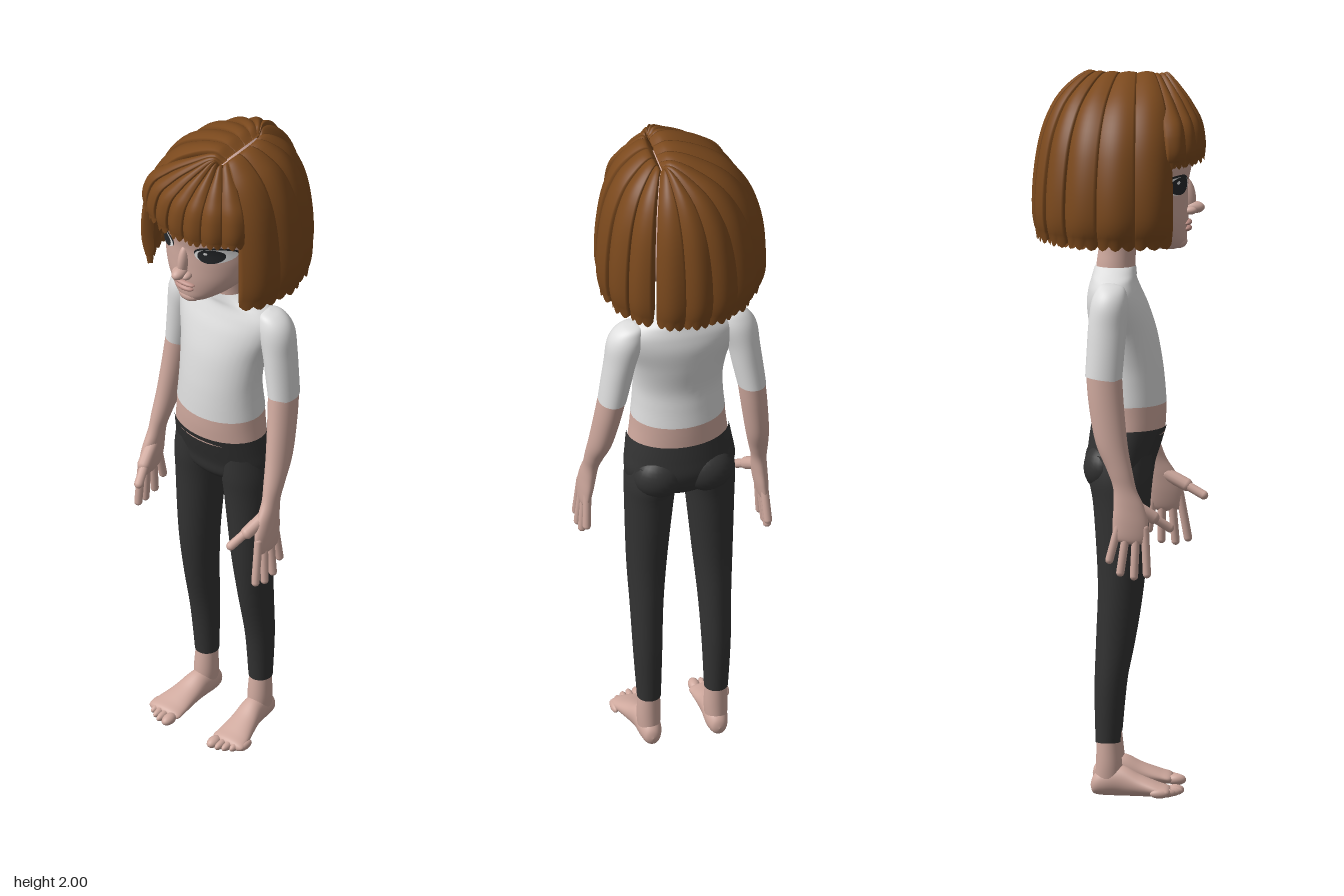
import * as THREE from 'three';

const mat = (name, color, side = THREE.FrontSide) => {
  const m = new THREE.MeshStandardMaterial({ color, side });
  m.name = name;
  return m;
};

// Catmull-Rom through rows of numbers
function dense(rows, steps = 6) {
  const out = [], n = rows.length;
  const at = (i) => rows[Math.min(n - 1, Math.max(0, i))];
  for (let i = 0; i < n - 1; i++) {
    for (let k = 0; k < steps; k++) {
      const t = k / steps;
      out.push(rows[i].map((_, c) => {
        const a = at(i - 1)[c], b = at(i)[c], d = at(i + 1)[c], e = at(i + 2)[c];
        return b + 0.5 * t * (d - a + t * (2 * a - 5 * b + 4 * d - e + t * (3 * (b - d) + e - a)));
      }));
    }
  }
  out.push(rows[n - 1]);
  return out;
}

// Surface from rings of points; fn(i, j) gives a point, rings are closed
function skinRings(nu, nv, fn) {
  const pos = [], idx = [];
  for (let j = 0; j < nv; j++) for (let i = 0; i < nu; i++) pos.push(...fn(i, j));
  for (let j = 0; j < nv - 1; j++) {
    for (let i = 0; i < nu; i++) {
      const k = (i + 1) % nu, a = j * nu + i, b = j * nu + k;
      idx.push(a, b, b + nu, a, b + nu, a + nu);
    }
  }
  const g = new THREE.BufferGeometry();
  g.setAttribute('position', new THREE.Float32BufferAttribute(pos, 3));
  g.setIndex(idx);
  g.computeVertexNormals();
  return g;
}

// Rows are [height, x, z, rx, rz], or [z, x, y, rx, ry] when alongZ is set
function loft(rows, alongZ = false, seg = 36) {
  const r = dense(rows);
  return skinRings(seg, r.length, (i, j) => {
    const [t, a, b, ra, rb] = r[j], q = (i / seg) * Math.PI * 2;
    const s = Math.sin(q), c = Math.cos(q);
    return alongZ ? [a + Math.max(0, ra) * c, b + Math.max(0, rb) * s, t]
      : [a + Math.max(0, ra) * s, t, b + Math.max(0, rb) * c];
  });
}

export function createModel() {
  const skin = mat('skin', 0xcfa99e), shirt = mat('shirt white', 0xdedede);
  const cloth = mat('dark cloth', 0x333333), hair = mat('brown hair', 0x7b491d, THREE.DoubleSide);
  const eyeWhite = mat('eye white', 0xe6e6e6), dark = mat('eye dark', 0x26282b), lip = mat('lip', 0xbd8f86);
  const root = new THREE.Group();
  const add = (name, geo, m, parent = root) => {
    const mesh = new THREE.Mesh(geo, m);
    mesh.name = name;
    parent.add(mesh);
    return mesh;
  };
  const ball = (name, p, r, m, parent) => {
    const b = add(name, new THREE.SphereGeometry(1, 24, 16), m, parent);
    b.position.set(...p);
    b.scale.set(...r);
    return b;
  };
  const limb = (name, p, q, r, m, parent) => {
    const a = new THREE.Vector3(...p), d = new THREE.Vector3(...q).sub(a), len = d.length();
    const c = add(name, new THREE.CapsuleGeometry(r, Math.max(0.001, len - r), 6, 12), m, parent);
    c.position.copy(a).addScaledVector(d, 0.5);
    c.quaternion.setFromUnitVectors(new THREE.Vector3(0, 1, 0), d.normalize());
  };

  // Torso
  add('top', loft([[1.085, 0, 0.027, 0.132, 0.103], [1.14, 0, 0.028, 0.127, 0.098], [1.2, 0, 0.026, 0.126, 0.093],
    [1.28, 0, 0.012, 0.136, 0.092], [1.35, 0, -0.004, 0.158, 0.085], [1.395, 0, -0.012, 0.163, 0.073],
    [1.425, 0, -0.014, 0.135, 0.063], [1.443, 0, -0.012, 0.09, 0.06], [1.462, 0, -0.01, 0.054, 0.056]]), shirt);
  add('waist', loft([[1.0, 0, 0.026, 0.14, 0.1], [1.05, 0, 0.027, 0.134, 0.102], [1.09, 0, 0.027, 0.131, 0.102]]), skin);
  add('neck', loft([[1.42, 0, -0.01, 0.054, 0.055], [1.47, 0, -0.009, 0.05, 0.053], [1.52, 0, -0.004, 0.047, 0.052],
    [1.6, 0, 0, 0.05, 0.055]]), skin);

  // Leggings
  add('hips', loft([[0.832, 0, 0.005, 0, 0], [0.842, 0, 0.005, 0.07, 0.05], [0.875, 0, 0.008, 0.138, 0.082],
    [0.92, 0, 0.006, 0.156, 0.094], [0.97, 0, 0.016, 0.151, 0.1], [1.02, 0, 0.027, 0.143, 0.104]]), cloth);
  for (const s of [1, -1]) {
    const side = s > 0 ? 'left' : 'right';
    add(side + 'Legging', loft([[0.15, s * 0.095, -0.028, 0.033, 0.034], [0.3, s * 0.097, -0.022, 0.04, 0.043],
      [0.45, s * 0.096, -0.005, 0.046, 0.055], [0.6, s * 0.093, 0.007, 0.056, 0.063],
      [0.8, s * 0.086, 0.008, 0.068, 0.076], [0.88, s * 0.082, 0.006, 0.073, 0.086], [0.95, s * 0.076, 0.008, 0.07, 0.085]]), cloth);
    ball(side + 'Buttock', [s * 0.068, 0.91, -0.04], [0.072, 0.066, 0.056], cloth);

    // Foot and toes
    add(side + 'Ankle', loft([[0.04, s * 0.095, -0.025, 0.03, 0.038], [0.09, s * 0.095, -0.025, 0.033, 0.036],
      [0.16, s * 0.095, -0.028, 0.03, 0.031]]), skin);
    add(side + 'Foot', loft([[-0.076, s * 0.094, 0.03, 0, 0], [-0.068, s * 0.094, 0.032, 0.02, 0.024],
      [-0.04, s * 0.094, 0.04, 0.031, 0.038], [0.01, s * 0.097, 0.043, 0.034, 0.042],
      [0.06, s * 0.104, 0.031, 0.041, 0.03], [0.11, s * 0.111, 0.021, 0.05, 0.02],
      [0.14, s * 0.113, 0.016, 0.048, 0.014], [0.15, s * 0.113, 0.014, 0, 0]], true), skin);
    for (let i = 0; i < 5; i++) {
      ball(side + 'Toe', [s * (0.08 + i * 0.018 + (i ? 0.005 : 0)), 0.015, 0.155 - i * i * 0.0025],
        [i ? 0.0105 : 0.016, i ? 0.012 : 0.015, 0.026], skin);
    }

    // Arm, swung slightly back on the right
    const arm = new THREE.Group();
    arm.name = side + 'Arm';
    arm.position.y = 1.4;
    arm.rotation.x = s > 0 ? 0 : 0.13;
    root.add(arm);
    const rows = (list) => list.map(([y, x, ...r]) => [y - 1.4, s * x, ...r]);
    add('sleeve', loft(rows([[1.175, 0.194, -0.008, 0.039, 0.051], [1.24, 0.184, -0.012, 0.042, 0.052],
      [1.31, 0.173, -0.016, 0.045, 0.053], [1.37, 0.16, -0.018, 0.052, 0.052], [1.405, 0.15, -0.018, 0.046, 0.044],
      [1.425, 0.14, -0.018, 0.028, 0.03], [1.431, 0.135, -0.018, 0, 0]])), shirt, arm);
    add('forearmAndPalm', loft(rows([[0.735, 0.243, 0.122, 0, 0], [0.745, 0.243, 0.122, 0.012, 0.042],
      [0.79, 0.238, 0.119, 0.019, 0.05], [0.84, 0.233, 0.108, 0.021, 0.043], [0.885, 0.229, 0.09, 0.021, 0.033],
      [0.93, 0.224, 0.07, 0.026, 0.036], [1.0, 0.215, 0.038, 0.032, 0.045], [1.1, 0.203, 0.01, 0.036, 0.049],
      [1.185, 0.193, -0.008, 0.038, 0.05]])), skin, arm);
    const fingers = [[0.158, 0.248, 0.655, 0.182], [0.135, 0.252, 0.645, 0.147],
      [0.11, 0.25, 0.65, 0.108], [0.087, 0.245, 0.68, 0.073]];
    for (const [z0, x, y, z] of fingers) limb('finger', [s * 0.24, -0.61, z0], [s * x, y - 1.4, z], 0.0115, skin, arm);
    limb('thumbBase', [s * 0.23, -0.555, 0.115], [s * 0.213, -0.59, 0.185], 0.018, skin, arm);
    limb('thumb', [s * 0.216, -0.58, 0.165], [s * 0.195, -0.615, 0.231], 0.0125, skin, arm);
  }

  // Head
  const headRows = [[1.507, 0.13, 0.135, 0], [1.512, 0.165, 0.1, 0.03], [1.53, 0.183, 0.03, 0.064], [1.56, 0.187, -0.03, 0.1],
    [1.6, 0.19, -0.1, 0.13], [1.65, 0.19, -0.15, 0.148], [1.7, 0.191, -0.17, 0.153], [1.76, 0.2, -0.175, 0.155],
    [1.84, 0.185, -0.165, 0.143], [1.9, 0.14, -0.12, 0.105], [1.94, 0.06, -0.05, 0.045], [1.945, 0.01, 0, 0]]
    .map(([y, front, back, rx]) => [y, 0, (front + back) / 2, rx, (front - back) / 2]);
  add('head', loft(headRows, false, 64), skin);
  const headRings = dense(headRows);
  const faceZ = (x, y) => {
    const i = headRings.findIndex((r) => r[0] > y), a = headRings[i - 1], b = headRings[i];
    const t = (y - a[0]) / (b[0] - a[0]), [, , cz, rx, rz] = a.map((v, c) => v + (b[c] - v) * t);
    return cz + rz * Math.sqrt(Math.max(0, 1 - (x / rx) ** 2));
  };
  // Thin oval plate that follows the face
  const patch = (name, cx, cy, rx, ry, lift, m) => add(name, skinRings(28, 7, (i, j) => {
    const q = (i / 28) * Math.PI * 2, k = 1 - j / 6;
    const x = cx + rx * k * Math.cos(q), y = cy + ry * k * Math.sin(q);
    return [x, y, faceZ(x, y) + lift];
  }), m);
  for (const s of [1, -1]) {
    patch('lashLine', s * 0.083, 1.7, 0.048, 0.027, 0.002, dark);
    patch('eyeWhite', s * 0.084, 1.696, 0.046, 0.025, 0.004, eyeWhite);
    patch('iris', s * 0.079, 1.696, 0.032, 0.025, 0.006, dark);
    patch('eyeGlint', s * 0.079 - 0.01, 1.706, 0.005, 0.005, 0.008, eyeWhite);
    ball('nostrilWing', [s * 0.017, 1.617, 0.196], [0.013, 0.011, 0.018], skin);
    ball('ear', [s * 0.153, 1.65, -0.01], [0.018, 0.045, 0.03], skin);
  }
  ball('noseTip', [0, 1.624, 0.206], [0.018, 0.017, 0.029], skin);
  ball('noseBridge', [0, 1.658, 0.188], [0.015, 0.05, 0.022], skin).rotation.x = -0.15;
  ball('upperLip', [0, 1.583, 0.186], [0.036, 0.008, 0.014], lip);
  ball('lowerLip', [0, 1.567, 0.185], [0.031, 0.009, 0.015], lip);
  ball('chin', [0, 1.53, 0.163], [0.034, 0.02, 0.024], skin);

  // Hair: overlapping locks fanning from an off-centre parting down to the hem
  const curve = (pts) => new THREE.CatmullRomCurve3(pts.map(([f, y]) => new THREE.Vector3(f, y, 0)));
  const bob = curve([[0, 1.98], [0.12, 1.991], [0.42, 1.962], [0.72, 1.9], [0.91, 1.81], [1, 1.7], [1.01, 1.61], [0.94, 1.54]]);
  const fringe = curve([[0, 1.975], [0.12, 1.985], [0.38, 1.955], [0.72, 1.905], [0.95, 1.85], [1, 1.8], [0.97, 1.76]]);
  const n = 13, steps = 30;
  const lock = (name, deg0, deg1, profile) => add(name, skinRings(2 * n, steps + 1, (i, j) => {
    const outer = i < n, u = outer ? i / (n - 1) : 1 - (i - n) / (n - 1), t = 1 - j / steps;
    const q = THREE.MathUtils.degToRad(deg0 + (deg1 - deg0) * u), s = Math.sin(q), c = Math.cos(q);
    const { x: f, y } = profile.getPoint(t);
    const grow = Math.min(1, t * 3), taper = Math.min(1, (1 - t) * 8);
    const bulge = (0.012 * Math.sin(Math.PI * u) + 0.009 * u - 0.004) * grow;
    const off = outer ? bulge : -0.006 - 0.018 * taper * grow;
    const x0 = 0.065, z0 = 0.0275 + 0.0875 * c;
    const x = x0 + (0.223 * s - x0) * f + off * s * f;
    const z = z0 + (0.225 * c - z0) * f + off * c * f;
    const drop = 0.016 * (1 - f) * THREE.MathUtils.smoothstep(s, 0, 0.5);
    const notch = t > 0.95 ? 0.014 * Math.abs(Math.sin(3 * Math.PI * u)) * (t - 0.95) * 20 : 0;
    return [x, y + off * (1 - f) - drop - notch + 0.008 * (t > 0.95 ? 1 : 0), z];
  }), hair);
  const run = (name, stops, profile) => {
    for (let i = 0; i < stops.length - 1; i++) lock(name, stops[i] - 0.6, stops[i + 1] + 0.6, profile);
  };
  run('fringeLock', [-51, -36, -22, -8, 6, 20, 35, 51], fringe);
  run('leftHairLock', [49, 78, 104, 126, 145], bob);
  run('rightHairLock', [149, 169, 188, 208, 230, 255, 282, 311], bob);
  return root;
}
